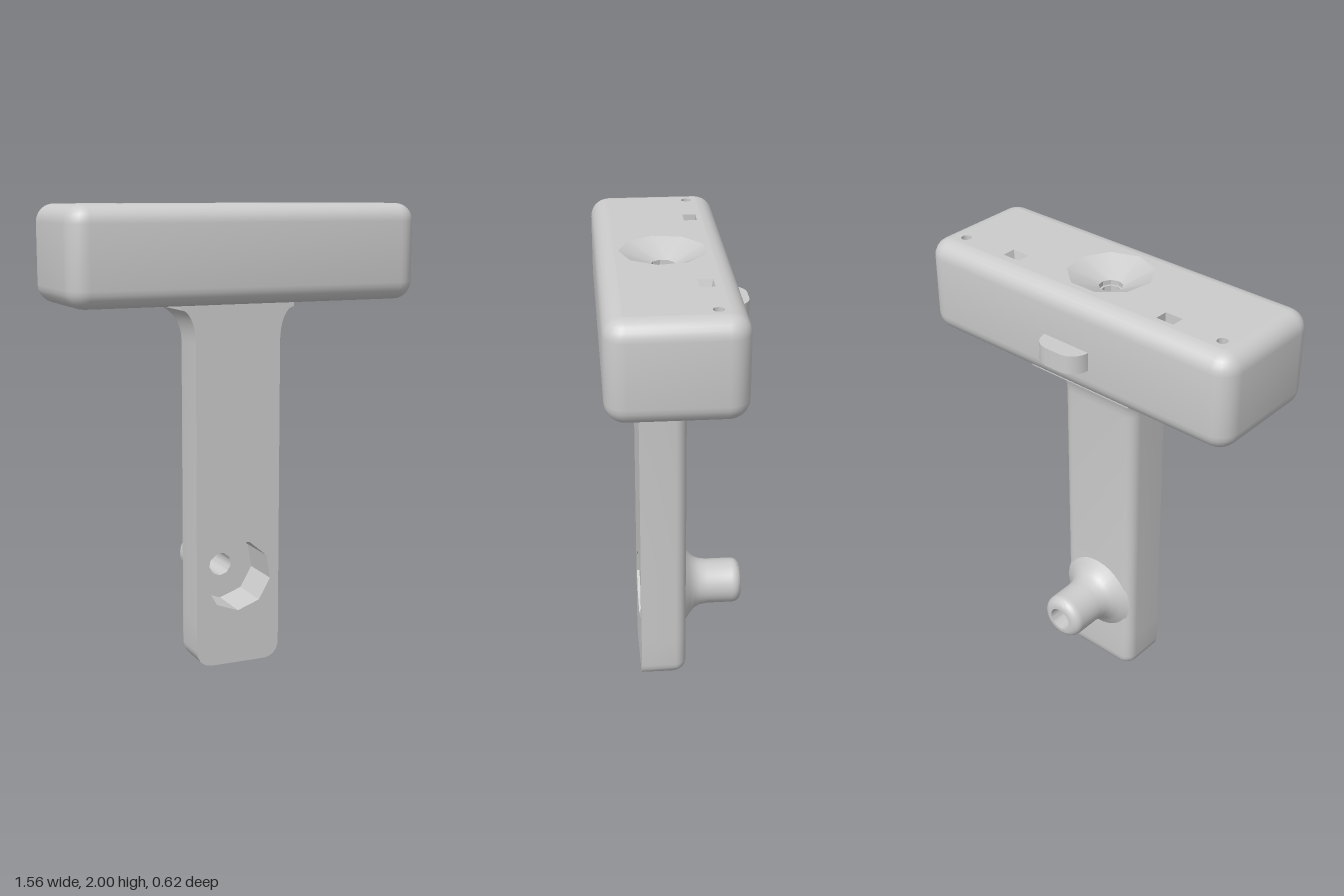
import * as THREE from 'three';
import { toCreasedNormals } from 'three/addons/utils/BufferGeometryUtils.js';

const V2 = (x, y) => new THREE.Vector2(x, y);
const material = new THREE.MeshStandardMaterial({ color: 0xcccccc });

function addMesh(parent, name, geometry, crease = 0.6) {
  const mesh = new THREE.Mesh(toCreasedNormals(geometry, crease), material);
  mesh.name = name;
  parent.add(mesh);
  return mesh;
}

// Points on an arc, counter-clockwise
function arc(cx, cy, r, from, to, n) {
  return Array.from({ length: n + 1 }, (_, i) => {
    const a = from + ((to - from) * i) / n;
    return V2(cx + r * Math.cos(a), cy + r * Math.sin(a));
  });
}
const polygon = (cx, cy, r, n, start = 0) => arc(cx, cy, r, start, start + Math.PI * 2, n).slice(0, n);
const rect = (cx, cy, w, h) => [V2(cx - w, cy - h), V2(cx + w, cy - h), V2(cx + w, cy + h), V2(cx - w, cy + h)];

function roundRect(w, h, r) {
  const q = Math.PI / 2;
  return [[1, 1], [-1, 1], [-1, -1], [1, -1]].flatMap(([sx, sy], i) =>
    arc(sx * (w - r), sy * (h - r), r, i * q, (i + 1) * q, 6));
}

// Skin over rings { pts, z }; rising counter-clockwise rings face outward
function loft(rings, closed = true, skip = () => false) {
  const n = rings[0].pts.length, index = [];
  const pos = rings.flatMap(({ pts, z }) => pts.flatMap((p) => [p.x, p.y, z]));
  for (let i = 0; i < rings.length - 1; i++) {
    for (let j = 0; j < (closed ? n : n - 1); j++) {
      if (skip(i, j)) continue;
      const a = i * n + j, b = i * n + ((j + 1) % n);
      index.push(a, b, b + n, a, b + n, a + n);
    }
  }
  const g = new THREE.BufferGeometry();
  g.setAttribute('position', new THREE.Float32BufferAttribute(pos, 3));
  g.setIndex(index);
  return g;
}

// Flat face with holes, facing +z
function panel(pts, holes = []) {
  const shape = new THREE.Shape(pts);
  shape.holes = holes.map((h) => new THREE.Path(h));
  return new THREE.ShapeGeometry(shape);
}

// Recess going into -z, optionally narrowing towards its floor
function addPocket(parent, name, pts, depth, taper = 1) {
  const c = pts.reduce((s, p) => s.add(p), V2(0, 0)).divideScalar(pts.length);
  const floor = pts.map((p) => p.clone().sub(c).multiplyScalar(taper).add(c));
  addMesh(parent, name + 'Wall', loft([{ pts, z: 0 }, { pts: floor, z: -depth }]));
  addMesh(parent, name + 'Floor', panel(floor)).position.z = -depth;
}

function createHead() {
  const head = new THREE.Group();
  head.name = 'head';
  head.position.set(0, 1.59, 0.0375);
  const W = 0.78, D = 0.2725, H = 0.41, R = 0.085, B = 0.075;

  // Rounded shell, lofted from bottom to top
  const rings = [];
  for (const top of [0, 1]) {
    for (let i = 0; i <= 6; i++) {
      const a = ((top ? 6 - i : i) / 6) * Math.PI / 2;
      const inset = B * (1 - Math.sin(a)), rise = B * (1 - Math.cos(a));
      rings.push({ pts: roundRect(W - inset, D - inset, R - inset), z: top ? H - rise : rise });
    }
  }
  addMesh(head, 'headShell', loft(rings)).rotation.x = -Math.PI / 2;
  const cap = rings[0].pts;

  // Top face with funnel, two slots and two pin holes
  const top = new THREE.Group();
  top.name = 'headTop';
  top.position.y = H;
  top.rotation.x = -Math.PI / 2;
  head.add(top);
  const pins = [-0.66, 0.66].map((x) => polygon(x, 0.1525, 0.022, 16));
  const slot = rect(-0.41, 0.146, 0.04, 0.028);
  const taperedSlot = rect(0.39, 0.136, 0.042, 0.03);
  const funnelRim = polygon(0, 0, 0.18, 9, -Math.PI / 2);
  addMesh(top, 'topFace', panel(cap, [...pins, slot, taperedSlot, funnelRim]));
  pins.forEach((p) => addPocket(top, 'pinHole', p, 0.06));
  addPocket(top, 'slot', slot, 0.05);
  addPocket(top, 'taperedSlot', taperedSlot, 0.05, 0.65);
  const funnel = [V2(0.18, 0), V2(0.05, -0.06), V2(0.05, -0.08), V2(0.04, -0.08), V2(0.04, -0.15), V2(0, -0.15)];
  addMesh(head, 'funnel', new THREE.LatheGeometry(funnel, 9)).position.y = H;

  // Underside with a keyhole recess
  const under = new THREE.Group();
  under.name = 'headUnderside';
  under.rotation.x = Math.PI / 2;
  head.add(under);
  const keyhole = [...arc(0.41, 0.02, 0.055, -Math.PI + 0.37, Math.PI - 0.37, 20), V2(0.29, 0.04), V2(0.29, 0)];
  addMesh(under, 'undersideFace', panel(cap, [keyhole]));
  addPocket(under, 'keyhole', keyhole, 0.06);

  // Rear tab
  const tab = new THREE.Shape([V2(-0.115, 0.2), V2(0.115, 0.2),
    ...arc(0.035, 0.2725, 0.08, 0, Math.PI / 2, 8), ...arc(-0.035, 0.2725, 0.08, Math.PI / 2, Math.PI, 8)]);
  const tabMesh = addMesh(head, 'rearTab', new THREE.ExtrudeGeometry(tab, { depth: 0.08, bevelEnabled: false }));
  tabMesh.rotation.x = -Math.PI / 2;
  tabMesh.position.y = 0.125;
  return head;
}

function createHandle() {
  const handle = new THREE.Group();
  handle.name = 'handle';
  const FRONT = 0.155, CY = 0.395;

  // Sections from rounded foot to flared neck: height, half width, back depth, back radius
  const rows = [];
  for (let i = 0; i <= 6; i++) {
    const a = (i / 6) * Math.PI / 2, s = 1 - Math.sin(a);
    rows.push({ y: 0.07 * (1 - Math.cos(a)), w: 0.195 - 0.07 * s, b: 0.05 - 0.05 * s, r: 0.05 });
  }
  const panelRow = rows.length;
  for (const y of [0.2, 0.59]) rows.push({ y, w: 0.195, b: 0.05, r: 0.05 });
  for (let i = 0; i <= 8; i++) {
    const a = (i / 8) * Math.PI / 2, f = 1 - Math.cos(a);
    rows.push({ y: 1.42 + 0.145 * Math.sin(a), w: 0.195 + 0.065 * f, b: 0.05 + 0.115 * f, r: 0.05 - 0.045 * f });
  }
  rows.push({ y: 1.6, w: 0.26, b: 0.165, r: 0.005 });
  const section = ({ w, b, r }) => [V2(w, -FRONT), ...arc(w - r, b - r, r, 0, Math.PI / 2, 6),
    ...arc(r - w, b - r, r, Math.PI / 2, Math.PI, 6), V2(-w, -FRONT)];
  const rings = rows.map((row) => ({ pts: section(row), z: row.y }));

  // Sides and back, leaving an opening behind the nozzle
  const body = loft(rings, false, (i, j) => i === panelRow && j === 7);
  addMesh(handle, 'handleBody', body).rotation.x = -Math.PI / 2;
  const backPanel = addMesh(handle, 'backPanel', panel(rect(0, CY, 0.145, 0.195), [polygon(0, CY, 0.1, 32)]));
  backPanel.rotation.y = Math.PI;
  backPanel.position.z = -0.05;
  addMesh(handle, 'foot', panel(rings[0].pts.map((p) => V2(p.x, -p.y)))).rotation.x = Math.PI / 2;

  // Front face with the nine-sided recess
  const outline = [...rows.map((r) => V2(r.w, r.y)), ...rows.map((r) => V2(-r.w, r.y)).reverse()];
  const front = addMesh(handle, 'frontFace', panel(outline, [polygon(0, CY, 0.157, 9, -Math.PI / 2)]));
  front.position.z = FRONT;
  const recess = [V2(0.053, 0.045), V2(0.157, 0.045), V2(0.157, -FRONT)];
  const recessMesh = addMesh(handle, 'frontRecess', new THREE.LatheGeometry(recess, 9, Math.PI));

  // Flared rear nozzle with a through bore
  const nozzle = [V2(0.185, 0.045), V2(0.15, 0.068), V2(0.12, 0.095), V2(0.108, 0.12), V2(0.102, 0.155), V2(0.102, 0.265),
    ...arc(0.062, 0.272, 0.04, 0, Math.PI / 2, 6), V2(0.053, 0.312), V2(0.053, 0.045)];
  const nozzleMesh = addMesh(handle, 'rearNozzle', new THREE.LatheGeometry(nozzle, 32));
  for (const m of [recessMesh, nozzleMesh]) {
    m.rotation.x = -Math.PI / 2;
    m.position.y = CY;
  }
  return handle;
}

export function createModel() {
  const model = new THREE.Group();
  model.name = 'mountedHead';
  model.add(createHead(), createHandle());
  return model;
}
